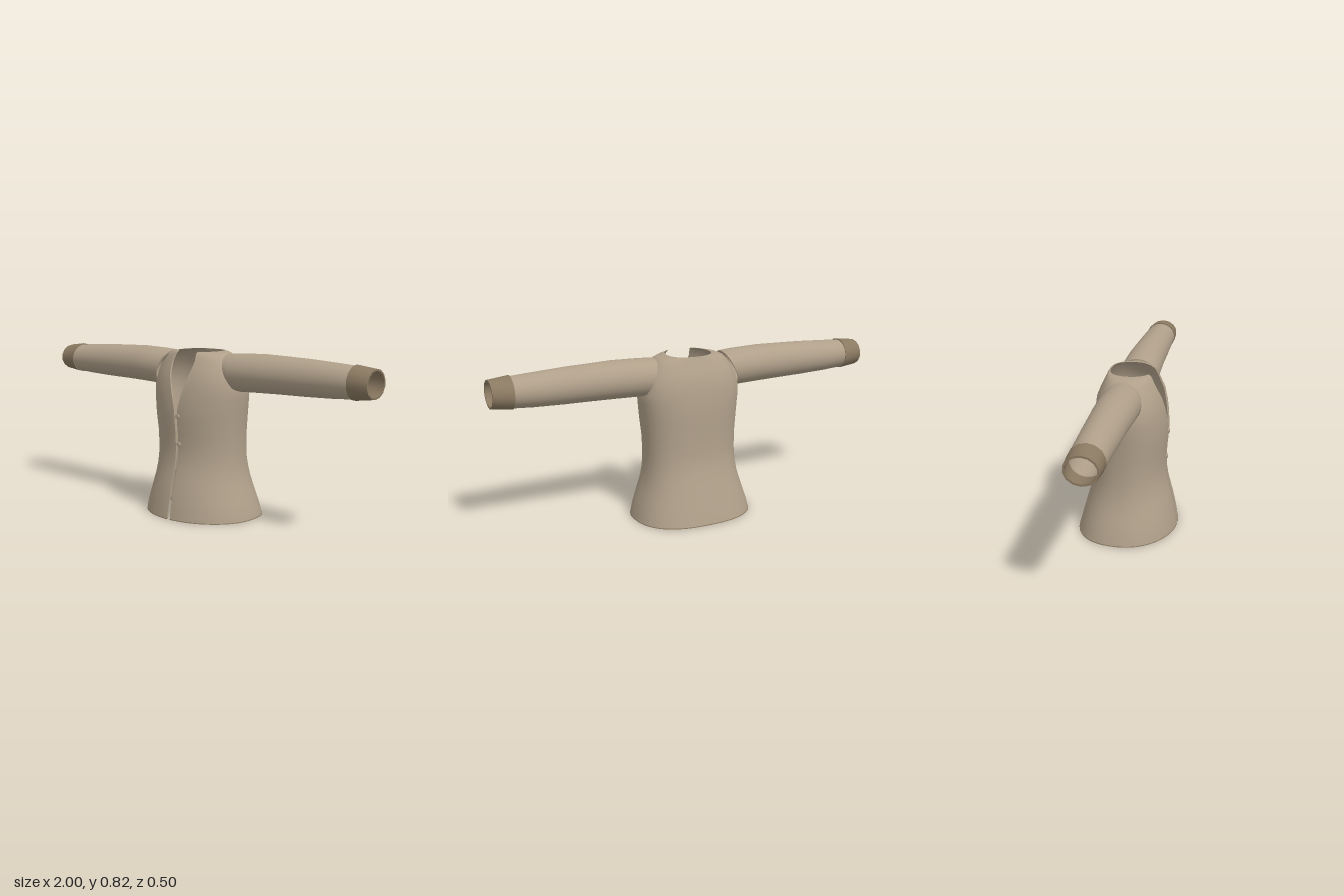
import * as THREE from 'three';
import { toCreasedNormals } from 'three/addons/utils/BufferGeometryUtils.js';

const cloth = new THREE.MeshStandardMaterial({ color: 0xb0a08a });
cloth.name = 'tan cloth';
const trim = new THREE.MeshStandardMaterial({ color: 0x8b7a62 });
trim.name = 'dark trim';

// Body profile: y, half width, front z, back z, half width of front opening
const BODY = [
  [0, 0.31, 0.25, -0.25, 0.009], [0.05, 0.299, 0.243, -0.237, 0.009],
  [0.1, 0.283, 0.233, -0.223, 0.008], [0.15, 0.267, 0.222, -0.209, 0.008],
  [0.2, 0.252, 0.209, -0.195, 0.008], [0.25, 0.244, 0.196, -0.181, 0.008],
  [0.3, 0.24, 0.188, -0.17, 0.008], [0.35, 0.24, 0.185, -0.166, 0.008],
  [0.42, 0.242, 0.188, -0.165, 0.008], [0.5, 0.25, 0.195, -0.165, 0.008],
  [0.55, 0.255, 0.195, -0.165, 0.012], [0.6, 0.26, 0.192, -0.163, 0.026],
  [0.65, 0.263, 0.186, -0.158, 0.042], [0.71, 0.248, 0.174, -0.15, 0.061],
  [0.75, 0.225, 0.157, -0.134, 0.07], [0.78, 0.205, 0.144, -0.12, 0.073],
  [0.805, 0.182, 0.132, -0.107, 0.069], [0.815, 0.155, 0.128, -0.103, 0.067],
  [0.822, 0.121, 0.124, -0.1, 0.065],
];

// Sleeve profile: x, top y, bottom y, front z, back z
const SLEEVE = [
  [0.185, 0.815, 0.637, 0.098, -0.092], [0.25, 0.82, 0.635, 0.104, -0.096],
  [0.4, 0.825, 0.64, 0.098, -0.094], [0.52, 0.822, 0.643, 0.092, -0.089],
  [0.65, 0.818, 0.645, 0.089, -0.085], [0.8, 0.81, 0.65, 0.084, -0.08],
  [0.905, 0.803, 0.657, 0.081, -0.075],
];
const CUFF = [[0.9, 0.81, 0.651, 0.086, -0.079], [1.0, 0.798, 0.664, 0.08, -0.073]];

function profileAt(y) {
  let i = 0;
  while (i < BODY.length - 2 && BODY[i + 1][0] < y) i++;
  const k = (y - BODY[i][0]) / (BODY[i + 1][0] - BODY[i][0]);
  return BODY[i].map((v, c) => v + (BODY[i + 1][c] - v) * k);
}

// Point on the body wall; t runs from the front (0) through +x to the back (PI)
function bodyPoint(y, t, inset) {
  const [, w, f, b] = profileAt(y);
  const s = Math.sin(t), c = Math.cos(t), p = c < 0 ? 2 / 2.5 : 1;
  return [
    (w - inset) * Math.sign(s) * Math.abs(s) ** p, y,
    (f + b) / 2 + ((f - b) / 2 - inset) * Math.sign(c) * Math.abs(c) ** p,
  ];
}

// Joins closed rings of points; extra holds additional triangles
function loft(rings, flip, extra = [], wrapRows = false) {
  const n = rings[0].length, m = rings.length, idx = [...extra];
  for (let i = 0; i < (wrapRows ? m : m - 1); i++) {
    for (let j = 0; j < n; j++) {
      const k = (j + 1) % n, r = ((i + 1) % m) * n;
      const a = i * n + j, b = i * n + k, c = r + k, d = r + j;
      idx.push(a, b, c, a, c, d);
    }
  }
  if (flip) idx.reverse();
  const g = new THREE.BufferGeometry();
  g.setAttribute('position', new THREE.Float32BufferAttribute(rings.flat(2), 3));
  g.setIndex(idx);
  return toCreasedNormals(g, 0.65);
}

// Piece of body wall with thickness, between two angles that depend on y
function wall(ys, from, to, insetOut, insetIn, N) {
  const rings = ys.map((y) => {
    const a = from(y), b = to(y), ring = [];
    for (let j = 0; j <= N; j++) ring.push(bodyPoint(y, a + (b - a) * j / N, insetOut));
    for (let j = N; j >= 0; j--) ring.push(bodyPoint(y, a + (b - a) * j / N, insetIn));
    return ring;
  });
  const L = 2 * N + 2, top = (ys.length - 1) * L, caps = [];
  for (let j = 0; j < N; j++) {
    const q = L - 1 - j;
    caps.push(j, q, q - 1, j, q - 1, j + 1);
    caps.push(top + j, top + q - 1, top + q, top + j, top + j + 1, top + q - 1);
  }
  return loft(rings, false, caps);
}

// Hollow tube along x following a profile
function tube(rows, side, thick, segs, slant) {
  const ring = ([x, yt, yb, zf, zb], inset, first) => {
    const out = [];
    for (let j = 0; j < segs; j++) {
      const t = (j / segs) * Math.PI * 2, c = Math.cos(t);
      out.push([
        side * (x + (first ? slant * (1 - c) / 2 : 0)),
        (yt + yb) / 2 + ((yt - yb) / 2 - inset) * c,
        (zf + zb) / 2 + ((zf - zb) / 2 - inset) * Math.sin(t),
      ]);
    }
    return out;
  };
  const rings = rows.map((r, i) => ring(r, 0, i === 0));
  for (let i = rows.length - 1; i >= 0; i--) rings.push(ring(rows[i], thick, i === 0));
  return loft(rings, side < 0, [], true);
}

export function createModel() {
  const model = new THREE.Group();
  model.name = 'jacket';
  const add = (name, geometry, material) => {
    const mesh = new THREE.Mesh(geometry, material);
    mesh.name = name;
    model.add(mesh);
    return mesh;
  };

  // Body, open down the front with a V neck
  const gap = (y) => {
    const p = profileAt(y);
    return Math.asin(p[4] / p[1]);
  };
  add('body', wall(BODY.map((r) => r[0]), gap, (y) => Math.PI * 2 - gap(y), 0, 0.007, 64), cloth);

  // Hem band
  add('hem', wall([0, 0.004], gap, (y) => Math.PI * 2 - gap(y), -0.001, 0.008, 64), trim);

  for (const side of [1, -1]) {
    const label = side > 0 ? 'left' : 'right';
    add(label + 'Sleeve', tube(SLEEVE, side, 0.007, 28, 0.075), cloth);
    add(label + 'Cuff', tube(CUFF, side, 0.009, 14, 0), trim);
    // Pocket lining on the inside of the front
    const a = side > 0 ? 0.35 : Math.PI * 2 - 0.68;
    add(label + 'InnerPocket',
      wall([0.05, 0.1, 0.15, 0.2], () => a, () => a + 0.33, 0.005, 0.012, 5), cloth);
  }

  // Buttons, the lower two sitting behind the opening
  [[0.51, 0.013, 0.196], [0.37, 0.013, 0.187], [0.23, 0.004, 0.191], [0.1, 0.004, 0.222]]
    .forEach(([y, x, z], i) => {
      const button = add('button' + (i + 1), new THREE.CylinderGeometry(0.011, 0.013, 0.009, 16), cloth);
      button.rotation.x = Math.PI / 2;
      button.position.set(x, y, z);
    });
  return model;
}
